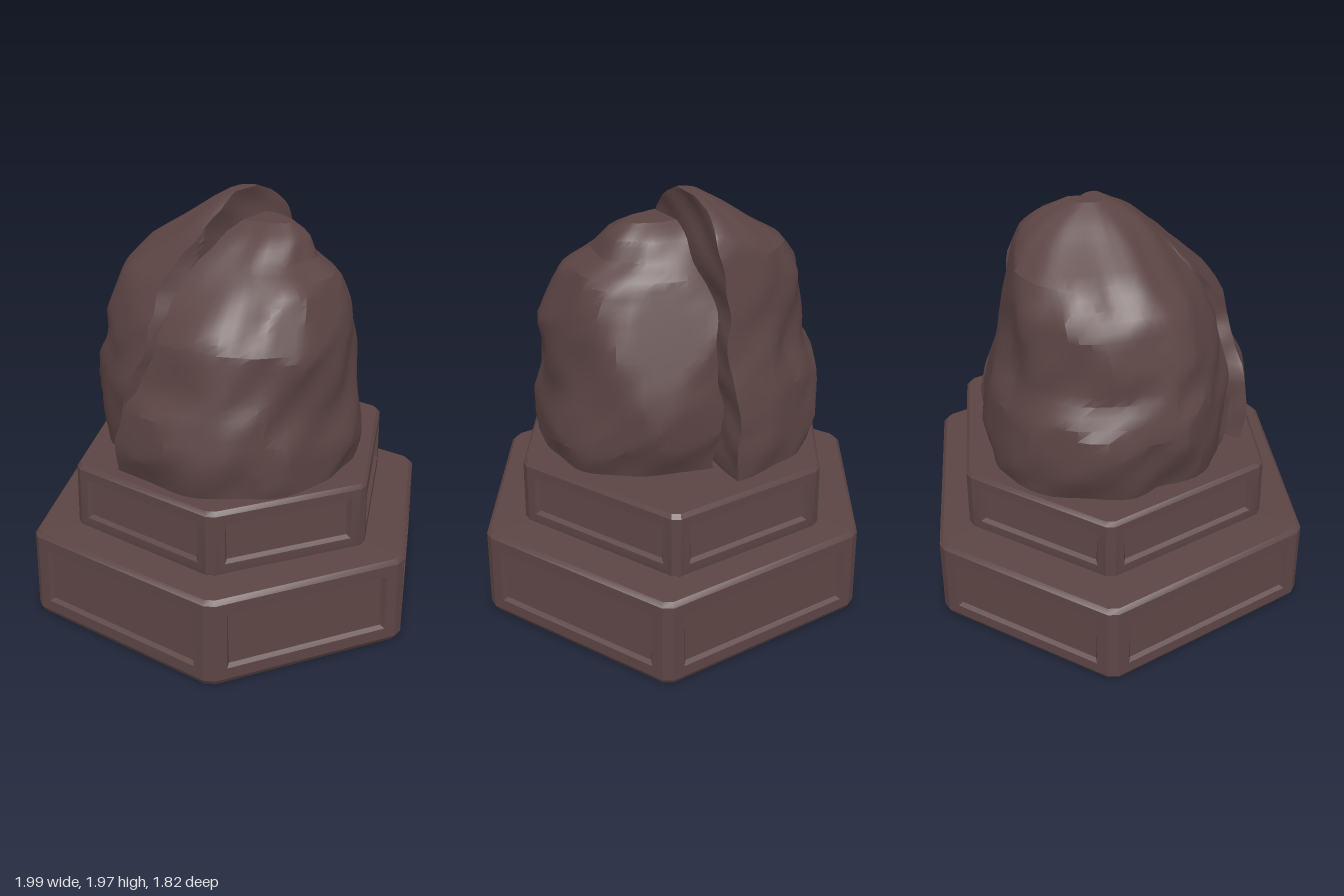
import * as THREE from 'three';
import { toCreasedNormals } from 'three/addons/utils/BufferGeometryUtils.js';

const V = (x, y, z) => new THREE.Vector3(x, y, z);

// Collects triangles and quads (corners counter-clockwise seen from outside).
class Faces {
  constructor() { this.p = []; }
  tri(a, b, c) { for (const v of [a, b, c]) this.p.push(v.x, v.y, v.z); }
  quad(a, b, c, d) { this.tri(a, b, c); this.tri(a, c, d); }
  mesh(name, material, crease) {
    const g = new THREE.BufferGeometry();
    g.setAttribute('position', new THREE.Float32BufferAttribute(this.p, 3));
    const m = new THREE.Mesh(toCreasedNormals(g, crease), material);
    m.name = name;
    return m;
  }
}

function seeded(s) {
  return () => { s = (s * 16807) % 2147483647; return s / 2147483647; };
}

// Irregular hexagonal block with worn corners and a sunken panel on each side.
function buildTier(name, material, corners, y0, y1, o) {
  const f = new Faces(), n = corners.length, outline = [];
  for (let i = 0; i < n; i++) {
    const a = V(corners[i][0], 0, corners[i][1]);
    const q = corners[(i + 1) % n], b = V(q[0], 0, q[1]);
    const t = o.chamfer / a.distanceTo(b);
    outline.push(a.clone().lerp(b, t), a.clone().lerp(b, 1 - t));
  }
  const ring = (y, s) => outline.map(p => V(p.x * s, y, p.z * s));
  const rings = [ring(y0, 0.985), ring(y0 + 0.025, 1), ring(y1 - 0.02, 0.993), ring(y1, 0.973)];
  const k = outline.length, bottom = V(0, y0, 0), top = V(0, y1 + o.crown, 0);

  for (let j = 0; j < k; j++) {
    const e = (j + 1) % k;
    f.tri(rings[0][e], rings[0][j], bottom);
    f.tri(rings[3][j], rings[3][e], top);
    for (let r = 0; r < 3; r++) {
      const [a, b, c, d] = [rings[r][j], rings[r][e], rings[r + 1][e], rings[r + 1][j]];
      if (r !== 1 || j % 2) { f.quad(a, b, c, d); continue; }
      // Side: flat frame, sloped edge, floor sunk deepest at the top
      const w = a.distanceTo(b), h = a.distanceTo(d);
      const inward = b.clone().sub(a).cross(d.clone().sub(a)).normalize().negate();
      const at = (u, v, depth) => a.clone().lerp(b, u).lerp(d.clone().lerp(c, u), v).addScaledVector(inward, depth);
      const loop = (m, low, high) => {
        const u = m / w, lo = m / h, hi = 1 - m / h;
        return [at(u, lo, low), at(1 - u, lo, low), at(1 - u, hi, high), at(u, hi, high)];
      };
      const steps = [[a, b, c, d], loop(o.frame, 0, 0), loop(o.frame + 0.015, o.depth * 0.55, o.depth)];
      for (let s = 0; s < 2; s++) for (let i = 0; i < 4; i++) {
        const m = (i + 1) % 4;
        f.quad(steps[s][i], steps[s][m], steps[s + 1][m], steps[s + 1][i]);
      }
      f.quad(...steps[2]);
    }
  }
  return f.mesh(name, material, 0.45);
}

// Line of the crack between the two halves: bends to -x at the front, most of all low down.
function crack(y, z) {
  const bend = THREE.MathUtils.clamp(0.45 - 0.6 * (y - 0.77), 0.06, 0.45);
  return 0.012 - bend * Math.pow(Math.max(0, z), 1.5) + 0.012 * Math.sin(13 * y + 6 * z) + 0.006 * Math.sin(31 * y - 17 * z);
}

// Half boulder; profile rows are [y, outer x, back z, front z], grooves are [angle, depth].
function buildHalf(name, material, side, profile, grooves, seed) {
  const SEG = 64, ROWS = 32, rand = seeded(seed), f = new Faces(), rows = [];
  const yLow = profile[0][0], yTop = profile[profile.length - 1][0];
  const sample = y => {
    let i = 0;
    while (i < profile.length - 2 && profile[i + 1][0] < y) i++;
    const a = profile[i], b = profile[i + 1], t = (y - a[0]) / (b[0] - a[0]);
    return a.map((v, n) => v + (b[n] - v) * t);
  };
  const round = v => Math.sign(v) * Math.pow(Math.abs(v), 0.86);
  for (let r = 0; r <= ROWS; r++) {
    const t = r / ROWS, y = yLow + (yTop - yLow) * (1 - Math.pow(1 - t, 1.25));
    const [, rx, zb, zf] = sample(y), row = [];
    for (let j = 0; j < SEG; j++) {
      const a = j / SEG * Math.PI * 2;
      let s = 1.015 + 0.016 * Math.sin(3 * a + 6 * y + seed) + 0.014 * Math.sin(7 * a - 9 * y) + 0.012 * Math.sin(11 * a + 17 * y);
      for (const [a0, depth] of grooves) s -= depth * Math.exp(-Math.pow((a - a0 - 0.25 * (y - 1.2)) / 0.13, 2));
      row.push(V(round(Math.cos(a)) * rx * s, y, (zb + zf) / 2 + round(Math.sin(a)) * (zf - zb) / 2 * s));
    }
    rows.push(row);
  }
  const all = rows.flat();

  // Chisel broad flat facets into the surface
  for (let i = 0; i < 30; i++) {
    const a = (i * 0.382 + rand() * 0.1) * Math.PI * 2, up = rand() * 0.6 - 0.1;
    const nrm = V(Math.cos(a), up, Math.sin(a)).normalize();
    const limit = Math.max(...all.map(p => p.dot(nrm))) - 0.006 - rand() * 0.03;
    for (const p of all) {
      const over = p.dot(nrm) - limit;
      if (over > 0) p.addScaledVector(nrm, -over);
    }
  }

  // Cut the half off along the crack, with a worn front edge on one side
  for (const p of all) {
    const c = crack(p.y, p.z), edge = 0.41 - 0.32 * Math.max(0, p.y - 1.1);
    if (side < 0) p.x = Math.min(p.x, c - 0.012 - 0.45 * Math.max(0, p.z - edge));
    else p.x = Math.max(p.x, c + 0.02 + 0.25 * Math.max(0, p.y - 1.65));
  }

  for (let r = 0; r < ROWS; r++) for (let j = 0; j < SEG; j++) {
    const e = (j + 1) % SEG;
    f.quad(rows[r][e], rows[r][j], rows[r + 1][j], rows[r + 1][e]);
  }
  const last = rows[ROWS], tip = V(0, 0, 0);
  last.forEach(p => tip.addScaledVector(p, 1 / SEG));
  last.forEach((p, j) => f.tri(last[(j + 1) % SEG], p, tip));
  return f.mesh(name, material, 0.38);
}

export function createModel() {
  const group = new THREE.Group();
  group.name = 'splitBoulderOnPlinth';
  const stone = new THREE.MeshStandardMaterial({ color: 0x5c4444 });
  stone.name = 'darkStone';

  // Two stacked hexagonal steps
  const lower = [[-0.47, 0.91], [0.56, 0.82], [1.012, -0.02], [0.51, -0.915], [-0.545, -0.835], [-1.012, -0.02]];
  const upper = [[-0.36, 0.715], [0.43, 0.66], [0.8, 0], [0.385, -0.755], [-0.405, -0.695], [-0.79, -0.025]];
  group.add(buildTier('lowerStep', stone, lower, 0.01, 0.445, { chamfer: 0.03, crown: 0.04, frame: 0.055, depth: 0.032 }));
  group.add(buildTier('upperStep', stone, upper, 0.43, 0.765, { chamfer: 0.025, crown: 0, frame: 0.045, depth: 0.032 }));

  // Boulder in two halves
  group.add(buildHalf('rightBoulderHalf', stone, -1, [
    [0.7, 0.58, -0.6, 0.5], [0.9, 0.64, -0.635, 0.54], [1.12, 0.675, -0.6, 0.54], [1.2, 0.63, -0.56, 0.52],
    [1.28, 0.585, -0.53, 0.5], [1.45, 0.585, -0.49, 0.47], [1.62, 0.55, -0.48, 0.37], [1.75, 0.43, -0.47, 0.25],
    [1.86, 0.25, -0.4, 0.15], [1.93, 0.15, -0.31, 0.06], [1.975, 0.07, -0.19, -0.03]], [[2.36, -0.03], [2.85, 0.04], [4.1, 0.03]], 11));
  group.add(buildHalf('leftBoulderHalf', stone, 1, [
    [0.7, 0.61, -0.43, 0.6], [0.9, 0.65, -0.5, 0.64], [1.0, 0.62, -0.54, 0.66], [1.1, 0.6, -0.53, 0.62],
    [1.2, 0.6, -0.5, 0.57], [1.42, 0.6, -0.45, 0.535], [1.52, 0.58, -0.42, 0.46], [1.65, 0.51, -0.37, 0.33],
    [1.72, 0.39, -0.31, 0.26], [1.82, 0.34, -0.25, 0.13], [1.87, 0.27, -0.17, 0.02]], [[0.85, 0.03]], 29));
  return group;
}
